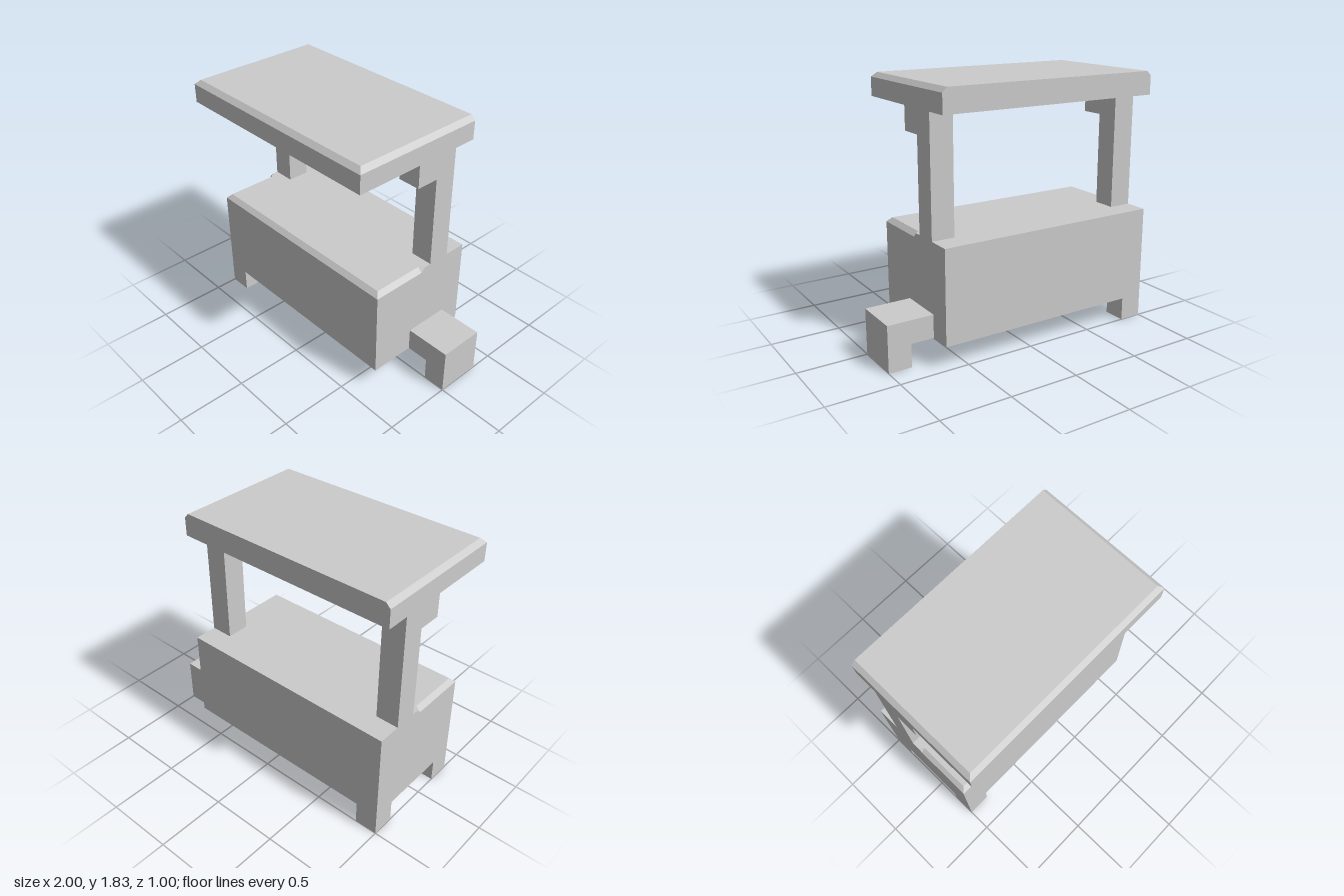
import * as THREE from 'three';
import { ConvexGeometry } from 'three/addons/geometries/ConvexGeometry.js';

const U = 1 / 6;   // grid unit
const C = 0.033;   // bevel size
const LEFT = 4 * U, RIGHT = -1;        // sides of the stall
const MID = (LEFT + RIGHT) / 2, HALF = 5 * U;

export function createModel() {
  const model = new THREE.Group();
  model.name = 'marketStall';
  const material = new THREE.MeshStandardMaterial({ color: 0xcccccc, flatShading: true });

  const add = (name, geometry) => {
    const mesh = new THREE.Mesh(geometry, material);
    mesh.name = name;
    model.add(mesh);
    return mesh;
  };

  // Box given by its lower and upper corners
  const box = (name, [x0, y0, z0], [x1, y1, z1]) =>
    add(name, new THREE.BoxGeometry(x1 - x0, y1 - y0, z1 - z0))
      .position.set((x0 + x1) / 2, (y0 + y1) / 2, (z0 + z1) / 2);

  // Convex solid from [half width, y, z] corners, mirrored across the stall
  const hull = (name, corners) =>
    add(name, new ConvexGeometry(corners.flatMap(([w, y, z]) =>
      [-w, w].map((x) => new THREE.Vector3(MID + x, y, z)))));

  // Slab bevelled along the front and side top edges
  const bevelledSlab = (name, y0, y1, back, front) => hull(name, [
    [HALF, y0, back], [HALF, y0, front],
    [HALF, y1 - C, back], [HALF, y1 - C, front],
    [HALF - C, y1, back], [HALF - C, y1, front - C],
  ]);

  // Counter: bevelled front, square back where the side bevels run out
  const stop = -0.083, top = 5 * U;
  bevelledSlab('counterFront', U, top, stop, 2 * U);
  hull('counterBack', [
    [HALF, U, -0.5], [HALF, top, -0.5],
    [HALF, U, stop], [HALF, top - C, stop],
    [HALF - C, top, stop], [HALF, top, stop - C],
  ]);

  // Roof
  bevelledSlab('roof', 10 * U, 11 * U, -0.5, 0.5);

  // Posts with roof brackets
  for (const [side, x] of [['left', LEFT - U], ['right', RIGHT]]) {
    box(side + 'Post', [x, top, -2 * U], [x + U, 10 * U, -U]);
    box(side + 'Bracket', [x, 9 * U, -U], [x + U, 10 * U, 0]);
  }

  // Feet under the right end
  box('frontFoot', [RIGHT, 0, U], [RIGHT + U, U, 2 * U]);
  box('backFoot', [RIGHT, 0, -3 * U], [RIGHT + U, U, -2 * U]);

  // Step supporting the left end
  box('stepTop', [LEFT, U, -2 * U], [1, 2 * U, 0]);
  box('stepLeg', [1 - U, 0, -2 * U], [1, U, 0]);

  return model;
}
